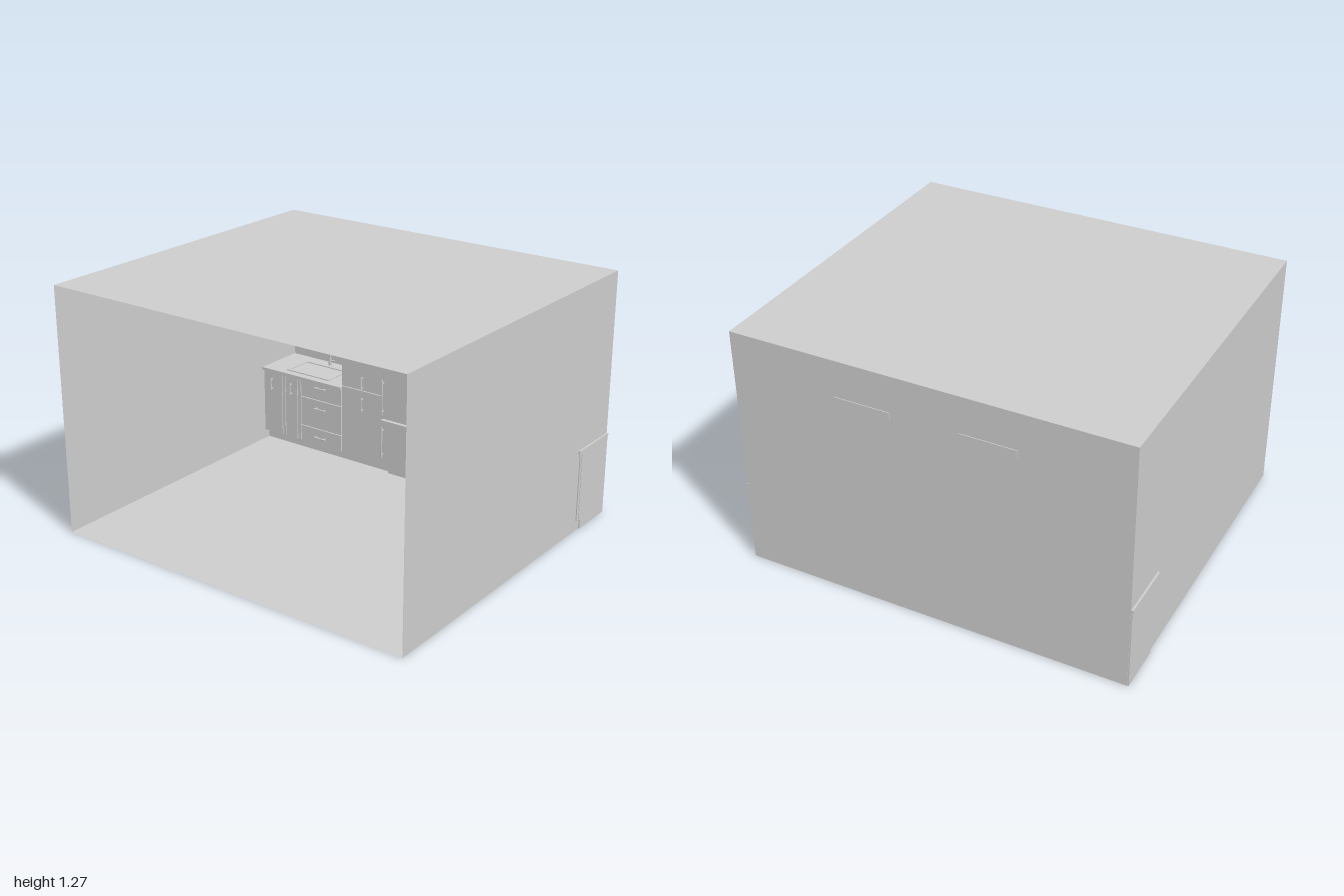
import * as THREE from 'three';

export function createModel() {
  const model = new THREE.Group();
  model.name = 'kitchenRoom';
  const grey = new THREE.MeshStandardMaterial({ color: 0xcccccc, side: THREE.DoubleSide });
  grey.name = 'plainGrey';

  const add = (name, geometry, parent = model) => {
    const mesh = new THREE.Mesh(geometry, grey);
    mesh.name = name;
    parent.add(mesh);
    return mesh;
  };
  // Box given by its limits on each axis
  const box = (name, x0, x1, y0, y1, z0, z1, parent) => {
    const mesh = add(name, new THREE.BoxGeometry(x1 - x0, y1 - y0, z1 - z0), parent);
    mesh.position.set((x0 + x1) / 2, (y0 + y1) / 2, (z0 + z1) / 2);
    return mesh;
  };
  const group = (name) => {
    const g = new THREE.Group();
    g.name = name;
    model.add(g);
    return g;
  };

  const W = 0.99, H = 1.27, D = 0.89, BACK = -0.888, FRONT = -0.612;

  // Open-fronted room shell of single sheets
  const room = group('room');
  const sheet = (name, w, h, pos, rot) => {
    const m = add(name, new THREE.PlaneGeometry(w, h), room);
    m.position.set(...pos);
    m.rotation.set(...rot);
  };
  sheet('backWall', 2 * W, H, [0, H / 2, -D], [0, 0, 0]);
  sheet('floor', 2 * W, 2 * D, [0, 0, 0], [-Math.PI / 2, 0, 0]);
  sheet('ceiling', 2 * W, 2 * D, [0, H, 0], [Math.PI / 2, 0, 0]);
  for (const s of [-1, 1]) sheet(s > 0 ? 'leftWall' : 'rightWall', 2 * D, H, [s * W, H / 2, 0], [0, -s * Math.PI / 2, 0]);

  // Bar handle on two posts
  const handle = (parent, x, y, length, z = FRONT, across = false) => {
    const g = new THREE.Group();
    g.name = 'handle';
    add('bar', new THREE.CylinderGeometry(0.004, 0.004, length, 10), g).position.z = 0.016;
    for (const s of [-1, 1]) box('post', -0.003, 0.003, s * length * 0.4 - 0.003, s * length * 0.4 + 0.003, 0, 0.016, g);
    g.position.set(x, y, z);
    if (across) g.rotation.z = Math.PI / 2;
    parent.add(g);
  };
  // Front panel with a narrow gap around it
  const panel = (parent, name, x0, x1, y0, y1) =>
    box(name, x0 + 0.002, x1 - 0.002, y0 + 0.002, y1 - 0.002, FRONT - 0.015, FRONT, parent);
  const drawers = (parent, x0, x1) => {
    const levels = [0.05, 0.145, 0.315, 0.415];
    for (let i = 0; i < 3; i++) {
      panel(parent, 'drawerFront', x0, x1, levels[i], levels[i + 1]);
      handle(parent, (x0 + x1) / 2, levels[i + 1] - (i === 2 ? 0.025 : 0.047), 0.07, FRONT, true);
    }
  };

  // Base cabinets under the two counters
  for (const s of [-1, 1]) {
    const base = group(s < 0 ? 'rightBaseCabinets' : 'leftBaseCabinets');
    const span = (a, b) => (s > 0 ? [a, b] : [-b, -a]);
    box('carcass', ...span(0.45, 0.997), 0.05, 0.415, BACK, FRONT - 0.015, base);
    box('toeKick', ...span(0.45, 0.997), 0, 0.05, BACK, -0.645, base);
    box('countertop', ...span(0.45, 1), 0.415, 0.432, BACK, -0.597, base);
    const doors = s < 0
      ? [[-0.997, -0.862, -0.93], [-0.84, -0.755, -0.795]]
      : [[0.452, 0.588, 0.52], [0.588, 0.725, 0.655]];
    for (const [x0, x1, hx] of doors) {
      panel(base, 'door', x0, x1, 0.05, 0.415);
      handle(base, hx, 0.343, 0.065);
    }
    if (s < 0) {
      panel(base, 'filler', -0.862, -0.84, 0.05, 0.415);
      panel(base, 'filler', -0.755, -0.73, 0.05, 0.415);
      drawers(base, -0.73, -0.452);
    } else {
      drawers(base, 0.727, 0.97);
      panel(base, 'filler', 0.97, 0.997, 0.05, 0.415);
    }
  }

  // Tall cabinets beside the refrigerator, with crown moulding
  for (const s of [-1, 1]) {
    const tall = group(s < 0 ? 'rightTallCabinet' : 'leftTallCabinet');
    const [x0, x1] = s > 0 ? [0.17, 0.45] : [-0.45, -0.17];
    box('carcass', x0, x1, 0.05, 1.045, BACK, FRONT - 0.015, tall);
    box('toeKick', x0, x1, 0, 0.05, BACK, -0.645, tall);
    panel(tall, 'lowerDoor', x0, x1, 0.05, 0.44);
    panel(tall, 'upperDoor', x0, x1, 0.44, 1.045);
    handle(tall, s * 0.31, 0.363, 0.075);
    handle(tall, s * 0.31, 0.485, 0.07);
    const profile = new THREE.Shape();
    profile.moveTo(0.894, 1.045);
    profile.lineTo(-FRONT, 1.045);
    profile.quadraticCurveTo(0.607, 1.07, 0.592, 1.076);
    profile.lineTo(0.592, 1.085);
    profile.lineTo(0.894, 1.085);
    const crown = add('crown', new THREE.ExtrudeGeometry(profile, { depth: x1 - x0, bevelEnabled: false, curveSegments: 6 }), tall);
    crown.rotation.y = Math.PI / 2;
    crown.position.x = x0;
  }

  // Cabinet bridging over the refrigerator
  const bridge = group('bridgeCabinet');
  box('carcass', -0.17, 0.17, 0.91, 1.045, BACK, FRONT - 0.015, bridge);
  panel(bridge, 'door', -0.147, 0.147, 0.91, 1.045);
  for (const s of [-1, 1]) panel(bridge, 'filler', s < 0 ? -0.17 : 0.147, s < 0 ? -0.147 : 0.17, 0.91, 1.045);
  handle(bridge, 0, 0.97, 0.065);

  // Refrigerator
  const fridge = group('refrigerator');
  box('body', -0.165, 0.165, 0.035, 0.89, BACK, -0.605, fridge);
  box('plinth', -0.148, 0.148, 0, 0.035, BACK, -0.625, fridge);
  box('freezerDoor', -0.163, 0.163, 0.04, 0.322, -0.602, -0.572, fridge);
  box('upperDoor', -0.163, 0.163, 0.333, 0.875, -0.602, -0.572, fridge);
  box('topCap', -0.167, 0.167, 0.89, 0.905, BACK, -0.585, fridge);
  handle(fridge, -0.145, 0.457, 0.195, -0.572);
  handle(fridge, -0.145, 0.202, 0.175, -0.572);

  // Sink rim and basin recess plate
  const sink = group('sink');
  const rim = new THREE.Shape();
  rim.moveTo(-0.145, -0.09).lineTo(0.145, -0.09).lineTo(0.145, 0.09).lineTo(-0.145, 0.09);
  const hole = new THREE.Path();
  hole.moveTo(-0.13, -0.075).lineTo(-0.13, 0.075).lineTo(0.13, 0.075).lineTo(0.13, -0.075);
  rim.holes.push(hole);
  const rimMesh = add('rim', new THREE.ExtrudeGeometry(rim, { depth: 0.005, bevelEnabled: false }), sink);
  rimMesh.rotation.x = -Math.PI / 2;
  rimMesh.position.set(-0.705, 0.432, -0.73);

  // Tall arched faucet with a side lever
  const v = (x, y, z) => new THREE.Vector3(x, y, z);
  const spout = new THREE.CatmullRomCurve3([
    v(-0.708, 0.432, -0.85), v(-0.708, 0.54, -0.85), v(-0.708, 0.582, -0.835),
    v(-0.708, 0.59, -0.81), v(-0.708, 0.575, -0.785), v(-0.708, 0.54, -0.775)]);
  add('faucetSpout', new THREE.TubeGeometry(spout, 32, 0.005, 10), sink);
  add('faucetBase', new THREE.CylinderGeometry(0.008, 0.009, 0.04, 16), sink).position.set(-0.708, 0.452, -0.85);
  const lever = new THREE.LineCurve3(v(-0.708, 0.456, -0.85), v(-0.672, 0.464, -0.85));
  add('faucetLever', new THREE.TubeGeometry(lever, 1, 0.004, 8), sink);

  // Canister on the left counter
  const canister = group('canister');
  add('jar', new THREE.CylinderGeometry(0.023, 0.023, 0.075, 32), canister).position.set(0.562, 0.47, -0.78);
  add('lid', new THREE.CylinderGeometry(0.025, 0.025, 0.011, 32), canister).position.set(0.562, 0.513, -0.78);

  // Wall shelf with brackets and a vase
  const shelf = group('wallShelf');
  box('board', 0.47, 0.94, 0.747, 0.76, BACK, -0.76, shelf);
  for (const x of [0.515, 0.895]) {
    box('bracketLeg', x - 0.003, x + 0.003, 0.722, 0.747, BACK, -0.88, shelf);
    box('bracketArm', x - 0.003, x + 0.003, 0.74, 0.747, BACK, -0.79, shelf);
  }
  const outline = new THREE.SplineCurve([[0.012, 0], [0.018, 0.015], [0.027, 0.042], [0.021, 0.064], [0.01, 0.076], [0.013, 0.088]]
    .map(([r, y]) => new THREE.Vector2(r, y))).getPoints(20);
  add('vase', new THREE.LatheGeometry([new THREE.Vector2(0, 0), ...outline], 32), shelf).position.set(0.703, 0.76, -0.82);

  return model;
}
